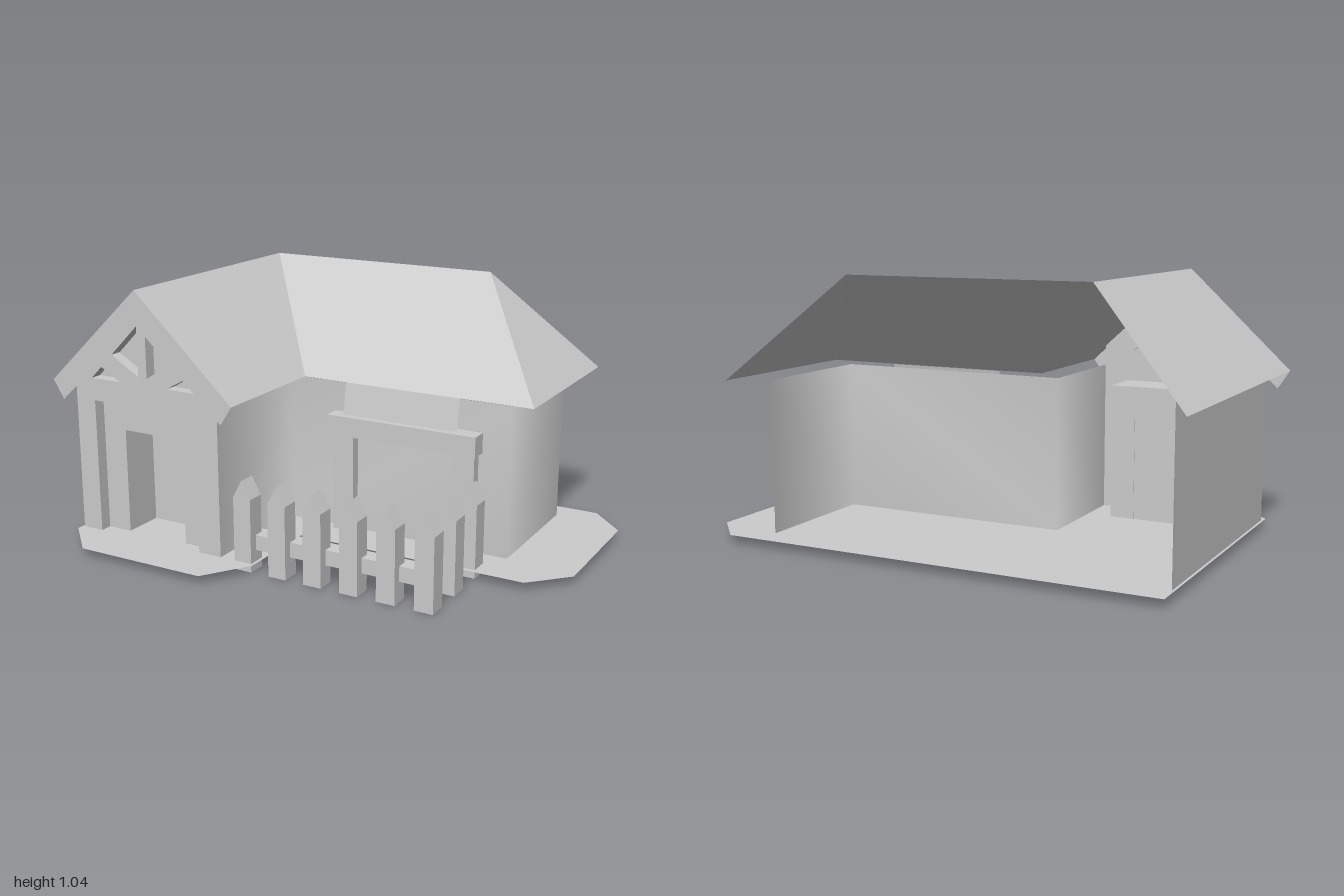
import * as THREE from 'three';

const stone = new THREE.MeshStandardMaterial({ color: 0xcccccc, side: THREE.DoubleSide });
stone.name = 'pale grey';

const GROUND = 0.035;

export function createModel() {
  const model = new THREE.Group();
  model.name = 'cottage';

  function add(name, geometry, x = 0, y = 0, z = 0) {
    const mesh = new THREE.Mesh(geometry, stone);
    mesh.name = name;
    mesh.position.set(x, y, z);
    model.add(mesh);
    return mesh;
  }

  // flat polygon from corners listed counter-clockwise
  function face(name, corners) {
    const g = new THREE.BufferGeometry();
    g.setAttribute('position', new THREE.Float32BufferAttribute(corners.flat(), 3));
    const index = [];
    for (let i = 1; i < corners.length - 1; i++) index.push(0, i, i + 1);
    g.setIndex(index);
    g.computeVertexNormals();
    return add(name, g);
  }

  // box given by its limits
  function block(name, x0, x1, y0, y1, z0, z1) {
    return add(name, new THREE.BoxGeometry(x1 - x0, y1 - y0, z1 - z0),
      (x0 + x1) / 2, (y0 + y1) / 2, (z0 + z1) / 2);
  }

  const outline = (pts) => new THREE.Shape(pts.map(([x, y]) => new THREE.Vector2(x, y)));

  function slab(name, shape, z, depth) {
    return add(name, new THREE.ExtrudeGeometry(shape, { depth, bevelEnabled: false }), 0, 0, z);
  }

  // ground sheet (shape y becomes -z)
  const plot = new THREE.ShapeGeometry(outline([
    [-0.92, 0.66], [-0.92, -0.54], [-0.76, -0.7], [-0.21, -0.7], [-0.09, -0.52],
    [-0.09, -0.165], [0.86, -0.165], [1, -0.02], [1, 0.51], [0.86, 0.66],
  ]));
  plot.rotateX(-Math.PI / 2);
  add('ground', plot, 0, GROUND, 0);

  // side and front wall, one strip with soft corners
  const path = [[-0.24, 0.51], [-0.24, -0.015], [0.72, -0.015], [0.72, -0.56]];
  const wall = new THREE.BufferGeometry();
  wall.setAttribute('position', new THREE.Float32BufferAttribute(
    path.flatMap(([x, z]) => [x, GROUND, z, x, 0.64, z]), 3));
  const wallIndex = [];
  for (let i = 0; i < 3; i++) {
    const a = i * 2;
    wallIndex.push(a, a + 2, a + 3, a, a + 3, a + 1);
  }
  wall.setIndex(wallIndex);
  wall.computeVertexNormals();
  add('wall', wall);

  face('farWall', [[-0.91, GROUND, -0.56], [-0.91, GROUND, 0.51], [-0.91, 0.68, 0.51], [-0.91, 0.68, -0.56]]);

  // roof: gable wing, main slope and hip end
  const ridgeFront = [-0.58, 1.045, 0.54], ridgeCorner = [-0.58, 1.045, -0.48];
  const ridgeEnd = [0.42, 1.045, -0.48], valley = [-0.155, 0.65, 0.015], eaveCorner = [0.815, 0.65, 0.015];
  face('wingRoofOuter', [[-1, 0.65, -0.71], [-1, 0.65, 0.54], ridgeFront, ridgeCorner]);
  face('wingRoofInner', [[-0.155, 0.65, 0.54], valley, ridgeCorner, ridgeFront]);
  face('mainRoof', [valley, eaveCorner, ridgeEnd, ridgeCorner]);
  face('hipRoof', [eaveCorner, [0.815, 0.65, -0.71], ridgeEnd]);

  // bargeboard on the gable edge
  add('bargeboard', new THREE.ShapeGeometry(outline([
    [-1, 0.65], [-0.952, 0.575], [-0.58, 0.912], [-0.203, 0.575], [-0.155, 0.65], [-0.58, 1.045],
  ])), 0, 0, 0.54);

  // gable front with doorway and truss openings
  const gable = outline([
    [-0.91, GROUND], [-0.82, GROUND], [-0.82, 0.58], [-0.34, 0.58], [-0.34, GROUND],
    [-0.24, GROUND], [-0.24, 0.72], [-0.58, 1.03], [-0.91, 0.72],
  ]);
  const middle = -0.58;
  for (const s of [-1, 1]) {
    for (const hole of [
      [[0.02, 0.90], [0.02, 0.70], [0.145, 0.775]],
      [[0.20, 0.72], [0.11, 0.67], [0.25, 0.67]],
    ]) {
      gable.holes.push(new THREE.Path(hole.map(([x, y]) => new THREE.Vector2(middle + s * x, y))));
    }
  }
  slab('gableFront', gable, 0.46, 0.05);
  add('gableBacking', new THREE.ShapeGeometry(outline([
    [-0.9, 0.6], [-0.25, 0.6], [-0.25, 0.7], [-0.58, 1.01], [-0.9, 0.7],
  ])), 0, 0, 0.461);

  // recessed entrance with a deeper door
  slab('entrance', outline([
    [-0.82, GROUND], [-0.715, GROUND], [-0.715, 0.46], [-0.44, 0.46], [-0.44, GROUND],
    [-0.34, GROUND], [-0.34, 0.58], [-0.82, 0.58],
  ]), 0.29, 0.17);
  face('door', [[-0.715, GROUND, 0.292], [-0.44, GROUND, 0.292], [-0.44, 0.46, 0.292], [-0.715, 0.46, 0.292]]);

  // side porch: posts, beam and leaning board
  for (const x of [-0.02, 0.5]) block('porchPost', x, x + 0.09, GROUND, 0.43, -0.015, 0.025);
  block('porchBeam', -0.03, 0.605, 0.44, 0.52, -0.015, 0.055);
  face('porchBoard', [[0.025, 0.52, 0.024], [0.515, 0.52, 0.024], [0.515, 0.65, 0], [0.025, 0.65, 0]]);

  // fence
  const w = 0.0375;
  const picket = new THREE.ExtrudeGeometry(outline([
    [-w, 0], [w, 0], [w, 0.29], [0, 0.36], [-w, 0.29],
  ]), { depth: 2 * w, bevelEnabled: false });
  picket.translate(0, 0, -w);
  for (let i = 0; i < 6; i++) add('picket', picket, -0.14 + i * 0.152, 0, 0.47);
  for (const z of [0.29, 0.108]) add('sidePicket', picket, 0.62, 0, z);

  // fence rail, open at the back
  face('railFront', [[-0.155, 0.08, 0.472], [0.63, 0.08, 0.472], [0.63, 0.14, 0.472], [-0.155, 0.14, 0.472]]);
  face('railTop', [[-0.155, 0.14, 0.472], [0.63, 0.14, 0.472], [0.63, 0.14, 0.402], [-0.155, 0.14, 0.402]]);

  return model;
}
